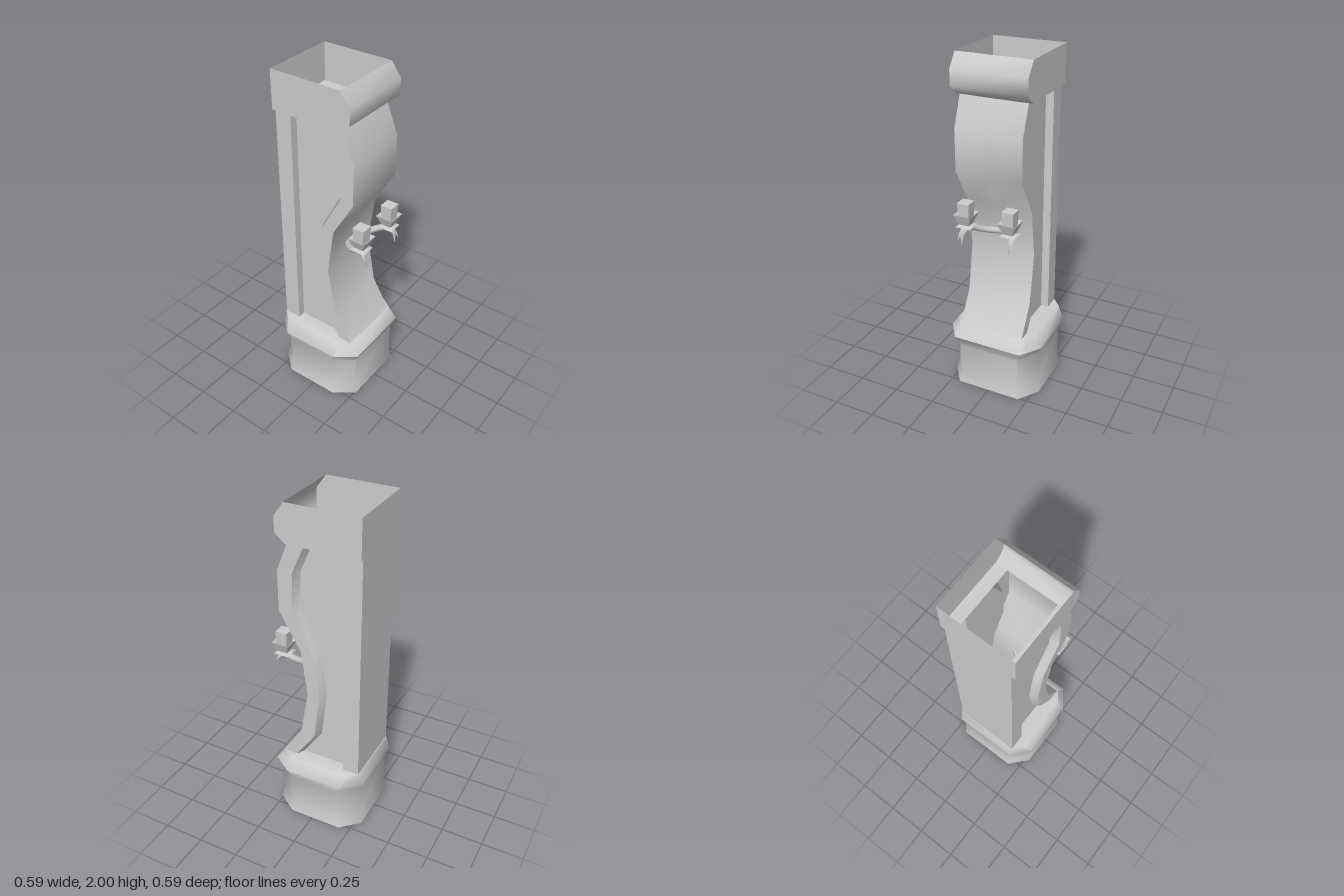
import * as THREE from 'three';
import { toCreasedNormals } from 'three/addons/utils/BufferGeometryUtils.js';

const stone = new THREE.MeshStandardMaterial({ color: 0xcccccc, side: THREE.DoubleSide });
stone.name = 'grey stone';

// Skin a stack of closed cross-sections (listed bottom to top, counterclockwise from above)
function loft(rings, crease = 1.0) {
  const n = rings[0].length;
  const index = [];
  for (let i = 0; i < rings.length - 1; i++) {
    for (let j = 0; j < n; j++) {
      const a = i * n + j, b = i * n + (j + 1) % n;
      index.push(a, b, b + n, a, b + n, a + n);
    }
  }
  const g = new THREE.BufferGeometry();
  g.setAttribute('position', new THREE.Float32BufferAttribute(rings.flat(2), 3));
  g.setIndex(index);
  return toCreasedNormals(g, crease);
}

// Complete a right-hand half outline (front to back) by mirroring it
function mirrorRing(half, y) {
  const right = half.map(([x, z]) => [x, y, z]);
  const left = half.filter(([x]) => x > 0).reverse().map(([x, z]) => [-x, y, z]);
  return [...right, ...left];
}

function add(parent, name, geometry) {
  const mesh = new THREE.Mesh(geometry, stone);
  mesh.name = name;
  parent.add(mesh);
  return mesh;
}

// Chamfered plinth, hollow, with a flat ledge on top
function plinth() {
  // y, half width, front z, back z, chamfer factor
  const levels = [
    [0, 0.28, 0.26, -0.29, 1],
    [0.07, 0.268, 0.25, -0.28, 1],
    [0.27, 0.268, 0.25, -0.28, 1],
    [0.33, 0.293, 0.275, -0.297, 1],
    [0.4, 0.245, 0.22, -0.272, 0.5],
    [0.4, 0.15, 0.1, -0.268, 0.05],
  ];
  return loft(levels.map(([y, w, f, b, c]) => mirrorRing([
    [w - 0.083 * c, f], [w, f - 0.118 * c], [w, b + 0.107 * c], [w - 0.098 * c, b],
  ], y)));
}

// Waisted front slab and flat back slab joined by recessed sides
function column() {
  // y, front z, slab rear z
  const levels = [
    [0.4, 0.22, 0.14],
    [0.58, 0.112, 0.02],
    [0.87, 0.062, -0.015],
    [1.15, 0.1, 0.02],
    [1.37, 0.228, 0.14],
    [1.61, 0.228, 0.135],
    [1.78, 0.16, 0.06],
  ];
  return loft(levels.map(([y, f, r]) => mirrorRing([
    [0, f], [0.197, f - 0.004], [0.197, r], [0.15, r - 0.025],
    [0.15, -0.17], [0.197, -0.17], [0.197, -0.268],
  ], y)));
}

// Open collar with a bulging front and a narrow inner floor
function collar() {
  const levels = [
    [1.78, 0.15, 0.15, -0.262],
    [1.78, 0.22, 0.157, -0.27],
    [1.83, 0.22, 0.215, -0.27],
    [1.92, 0.22, 0.215, -0.27],
    [2, 0.22, 0.157, -0.27],
  ];
  return loft(levels.map(([y, w, f, b]) => mirrorRing([[w, f], [w, b]], y)));
}

// Square-section turned piece
function squareLathe(points) {
  const g = new THREE.LatheGeometry(points.map(([r, y]) => new THREE.Vector2(r * Math.SQRT2, y)), 4);
  g.rotateY(Math.PI / 4);
  return toCreasedNormals(g, 1.0);
}

// Curved horn that tapers to a point
function horn(points, radius) {
  const curve = new THREE.CatmullRomCurve3(points.map(p => new THREE.Vector3(...p)));
  const steps = 5, sides = 5;
  const g = new THREE.TubeGeometry(curve, steps, radius, sides, false);
  const pos = g.attributes.position;
  const v = new THREE.Vector3();
  for (let i = 0; i < pos.count; i++) {
    const t = Math.floor(i / (sides + 1)) / steps;
    const c = curve.getPointAt(t);
    v.fromBufferAttribute(pos, i).sub(c).multiplyScalar(1 - 0.95 * t).add(c);
    pos.setXYZ(i, v.x, v.y, v.z);
  }
  g.computeVertexNormals();
  return g;
}

// Double candle bracket
function sconce() {
  const group = new THREE.Group();
  group.name = 'sconce';
  const path = [
    [-0.133, 1.065, 0.24], [-0.125, 1.035, 0.18], [-0.075, 1.0, 0.11], [0, 0.993, 0.075],
    [0.075, 1.0, 0.11], [0.125, 1.035, 0.18], [0.133, 1.065, 0.24],
  ].map(p => new THREE.Vector3(...p));
  add(group, 'bracketArm', new THREE.TubeGeometry(new THREE.CatmullRomCurve3(path), 18, 0.02, 6));

  for (const side of [-1, 1]) {
    const holder = new THREE.Group();
    holder.name = side > 0 ? 'leftCandleHolder' : 'rightCandleHolder';
    holder.position.set(side * 0.133, 0, 0.237);
    add(holder, 'cup', squareLathe([
      [0, 1.05], [0.045, 1.068], [0.028, 1.08], [0.053, 1.142], [0.034, 1.125],
    ]));
    add(holder, 'candle', squareLathe([[0.03, 1.09], [0.035, 1.21], [0, 1.212]]));
    // Drooping leaf tips
    add(holder, 'frontLeaf', horn([
      [0, 1.06, -0.01], [side * 0.012, 1.03, 0.025], [side * 0.01, 0.965, 0.04],
    ], 0.022));
    add(holder, 'outerLeaf', horn([
      [0, 1.06, 0], [side * 0.022, 1.03, 0.03], [side * 0.026, 0.995, 0.05],
    ], 0.018));
    group.add(holder);
  }
  return group;
}

export function createModel() {
  const model = new THREE.Group();
  model.name = 'pillar';
  add(model, 'plinth', plinth());
  add(model, 'column', column());
  add(model, 'collar', collar());
  model.add(sconce());
  return model;
}
